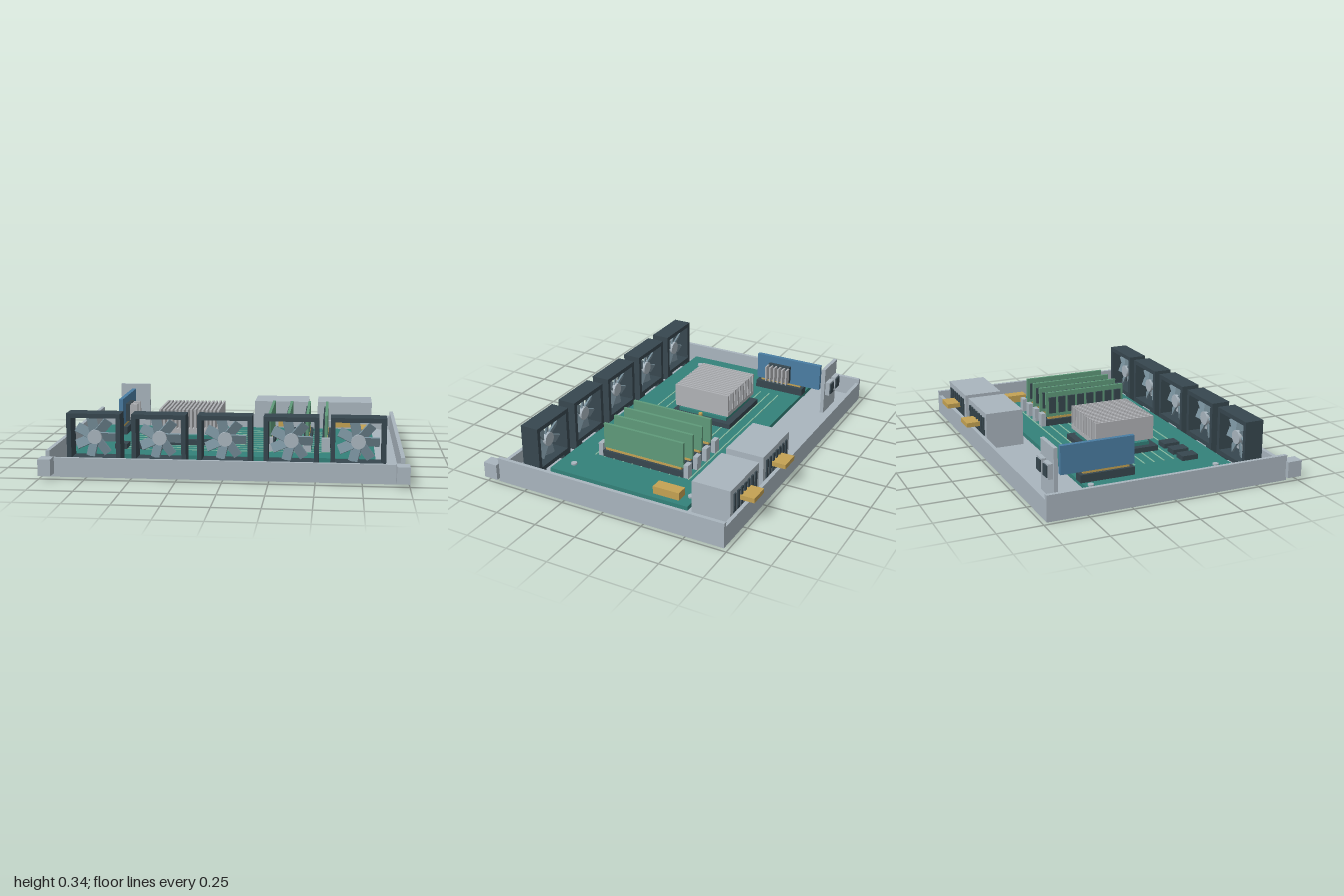
import * as THREE from 'three';

const mat = (name, color) => {
  const m = new THREE.MeshStandardMaterial({ color });
  m.name = name;
  return m;
};

export function createModel() {
  const root = new THREE.Group();
  root.name = 'openRackServer';

  const metal = mat('chassis grey', 0xa9b5be);
  const dark = mat('charcoal plastic', 0x37474f);
  const boardTeal = mat('board teal', 0x33827a);
  const traceGreen = mat('trace pale green', 0x86b9a0);
  const memoryGreen = mat('memory green', 0x5f9a7a);
  const cardBlue = mat('card blue', 0x4a7da3);
  const brass = mat('brass', 0xc4a253);
  const bladeGrey = mat('blade blue grey', 0x78909c);
  const finGrey = mat('aluminium fins', 0xb0b2b6);

  const group = (name, parent = root) => {
    const g = new THREE.Group();
    g.name = name;
    parent.add(g);
    return g;
  };
  const add = (parent, name, geo, material, x = 0, y = 0, z = 0) => {
    const m = new THREE.Mesh(geo, material);
    m.name = name;
    m.position.set(x, y, z);
    parent.add(m);
    return m;
  };
  // Box given by its limits on each axis
  const box = (parent, name, material, x0, x1, y0, y1, z0, z1) =>
    add(parent, name, new THREE.BoxGeometry(x1 - x0, y1 - y0, z1 - z0), material,
      (x0 + x1) / 2, (y0 + y1) / 2, (z0 + z1) / 2);

  const FLOOR = 0.03, BOARD = 0.08;

  // Open tray with mounting ears
  const chassis = group('chassis');
  box(chassis, 'floor', metal, -0.975, 0.975, 0, FLOOR, -0.725, 0.69);
  box(chassis, 'frontWall', metal, -0.953, 0.953, FLOOR, 0.107, 0.668, 0.69);
  box(chassis, 'rearWall', metal, -0.953, 0.953, FLOOR, 0.118, -0.725, -0.703);
  for (const s of [-1, 1]) {
    const side = s < 0 ? 'right' : 'left';
    const cx = s * 0.964;
    box(chassis, side + 'Wall', metal, cx - 0.011, cx + 0.011, FLOOR, 0.146, -0.725, 0.69);
    const ex = s * 0.965;
    box(chassis, side + 'Ear', metal, ex - 0.035, ex + 0.035, 0.02, 0.113, 0.685, 0.77);
  }

  // Main board on standoffs, with traces and screws
  const board = group('mainBoard');
  box(board, 'circuitBoard', boardTeal, -0.915, 0.828, 0.055, BOARD, -0.435, 0.44);
  for (let i = 0; i < 11; i++) {
    const z = -0.307 + i * 0.0605;
    box(board, 'trace', traceGreen, -0.62, 0.58, BOARD, BOARD + 0.002, z - 0.004, z + 0.004);
  }
  for (const x of [-0.795, 0.73]) for (const z of [-0.405, 0.345]) {
    add(board, 'screw', new THREE.CylinderGeometry(0.018, 0.018, 0.01, 8), metal, x, BOARD + 0.005, z);
    add(board, 'standoff', new THREE.CylinderGeometry(0.018, 0.018, 0.025, 8), metal, x, 0.0425, z);
  }
  for (const x of [-0.635, -0.525, -0.413])
    box(board, 'controllerChip', dark, x - 0.036, x + 0.036, BOARD, 0.108, 0.205, 0.303);
  box(board, 'powerSocket', brass, 0.725, 0.795, BOARD, 0.125, -0.365, -0.205);

  // Processor stack and its finned cooler
  const cooler = group('processorCooler');
  box(cooler, 'socket', dark, -0.457, -0.06, BOARD, 0.11, -0.24, 0.16);
  box(cooler, 'substrate', boardTeal, -0.42, -0.095, 0.11, 0.13, -0.2, 0.12);
  box(cooler, 'heatSpreader', metal, -0.39, -0.125, 0.13, 0.148, -0.17, 0.09);
  box(cooler, 'coolerBase', finGrey, -0.437, -0.08, 0.148, 0.172, -0.218, 0.138);
  const FINS = 16;
  for (let i = 0; i < FINS; i++) {
    const x = -0.431 + (i * 0.345) / (FINS - 1);
    box(cooler, 'coolerFin', finGrey, x - 0.006, x + 0.006, 0.172, 0.286, -0.218, 0.138);
  }
  for (const x of [-0.445, -0.068])
    add(cooler, 'retentionPin', new THREE.CylinderGeometry(0.013, 0.013, 0.03, 12), brass, x, 0.124, -0.04);

  // Four memory modules in latched sockets
  for (let i = 0; i < 4; i++) {
    const m = group('memoryModule' + (i + 1));
    m.position.x = 0.222 + i * 0.109;
    box(m, 'memorySocket', dark, -0.025, 0.025, BOARD, 0.118, -0.272, 0.25);
    for (const z of [-0.286, 0.265])
      box(m, 'latch', metal, -0.024, 0.024, BOARD, 0.16, z - 0.014, z + 0.014);
    box(m, 'contacts', brass, -0.01, 0.01, 0.118, 0.132, -0.25, 0.24);
    box(m, 'memoryBoard', memoryGreen, -0.008, 0.008, 0.132, 0.284, -0.262, 0.25);
    for (let k = 0; k < 8; k++) {
      const z = -0.223 + k * 0.062;
      box(m, 'memoryChip', dark, -0.018, -0.008, 0.155, 0.255, z - 0.022, z + 0.022);
    }
  }

  // Expansion card, slot, small heat sink and rear bracket
  const card = group('expansionCard');
  box(card, 'cardSlot', dark, -0.745, -0.682, BOARD, 0.125, -0.442, -0.125);
  box(card, 'cardContacts', brass, -0.728, -0.707, 0.125, 0.138, -0.42, -0.15);
  box(card, 'cardBoard', cardBlue, -0.73, -0.705, 0.138, 0.3, -0.55, -0.122);
  box(card, 'cardChip', dark, -0.705, -0.678, 0.15, 0.257, -0.352, -0.208);
  for (let i = 0; i < 6; i++) {
    const z = -0.348 + i * 0.0275;
    box(card, 'chipFin', finGrey, -0.678, -0.635, 0.155, 0.253, z - 0.005, z + 0.005);
  }
  box(card, 'rearBracket', metal, -0.81, -0.62, FLOOR, 0.325, -0.618, -0.596);
  for (const x of [-0.762, -0.668]) {
    box(card, 'port', metal, x - 0.033, x + 0.033, 0.15, 0.235, -0.645, -0.618);
    box(card, 'portOpening', dark, x - 0.026, x + 0.026, 0.16, 0.225, -0.652, -0.645);
  }

  // Two power supplies with rear vents, inner plug and pull tab
  for (const cx of [0.257, 0.657]) {
    const p = group(cx < 0.5 ? 'powerSupplyInner' : 'powerSupplyOuter');
    p.position.x = cx;
    box(p, 'powerCase', metal, -0.171, 0.171, BOARD + 0.002, 0.246, -0.686, -0.46);
    box(p, 'powerCradle', metal, -0.171, 0.171, FLOOR, BOARD + 0.002, -0.686, -0.46);
    for (let i = 0; i < 7; i++) {
      const x = -0.126 + i * 0.042;
      box(p, 'ventSlot', dark, x - 0.01, x + 0.01, 0.1, 0.214, -0.694, -0.686);
    }
    box(p, 'innerPlug', brass, -0.06, 0.06, 0.09, 0.127, -0.46, -0.425);
    box(p, 'pullTab', brass, -0.06, 0.06, 0.14, 0.167, -0.77, -0.686);
  }

  // Row of five cooling fans
  const FAN_Y = 0.198, W = 0.151, H = 0.137, T = 0.025;
  const frame = new THREE.Shape([
    new THREE.Vector2(-W, -H), new THREE.Vector2(W, -H), new THREE.Vector2(W, H), new THREE.Vector2(-W, H)]);
  frame.holes.push(new THREE.Path([
    new THREE.Vector2(-W + T, -H + T), new THREE.Vector2(-W + T, H - T),
    new THREE.Vector2(W - T, H - T), new THREE.Vector2(W - T, -H + T)]));
  const frameGeo = new THREE.ExtrudeGeometry(frame, { depth: 0.11, bevelEnabled: false });
  const hubGeo = new THREE.CylinderGeometry(0.04, 0.04, 0.05, 20).rotateX(Math.PI / 2);
  const bladeGeo = new THREE.BoxGeometry(0.055, 0.085, 0.01).rotateY(0.4).translate(0, 0.074, 0);
  for (let i = 0; i < 5; i++) {
    const fan = group('fan' + (i + 1));
    fan.position.set(-0.731 + i * 0.365, FAN_Y, 0.53);
    add(fan, 'fanFrame', frameGeo, dark, 0, 0, -0.055);
    for (const x of [-0.12, 0.12])
      box(fan, 'fanFoot', dark, x - 0.03, x + 0.03, FLOOR - FAN_Y, -H, -0.055, 0.055);
    add(fan, 'fanHub', hubGeo, metal);
    for (let k = 0; k < 7; k++)
      add(fan, 'fanBlade', bladeGeo, bladeGrey).rotation.z = (k * Math.PI * 2) / 7 + 0.2;
  }

  return root;
}
